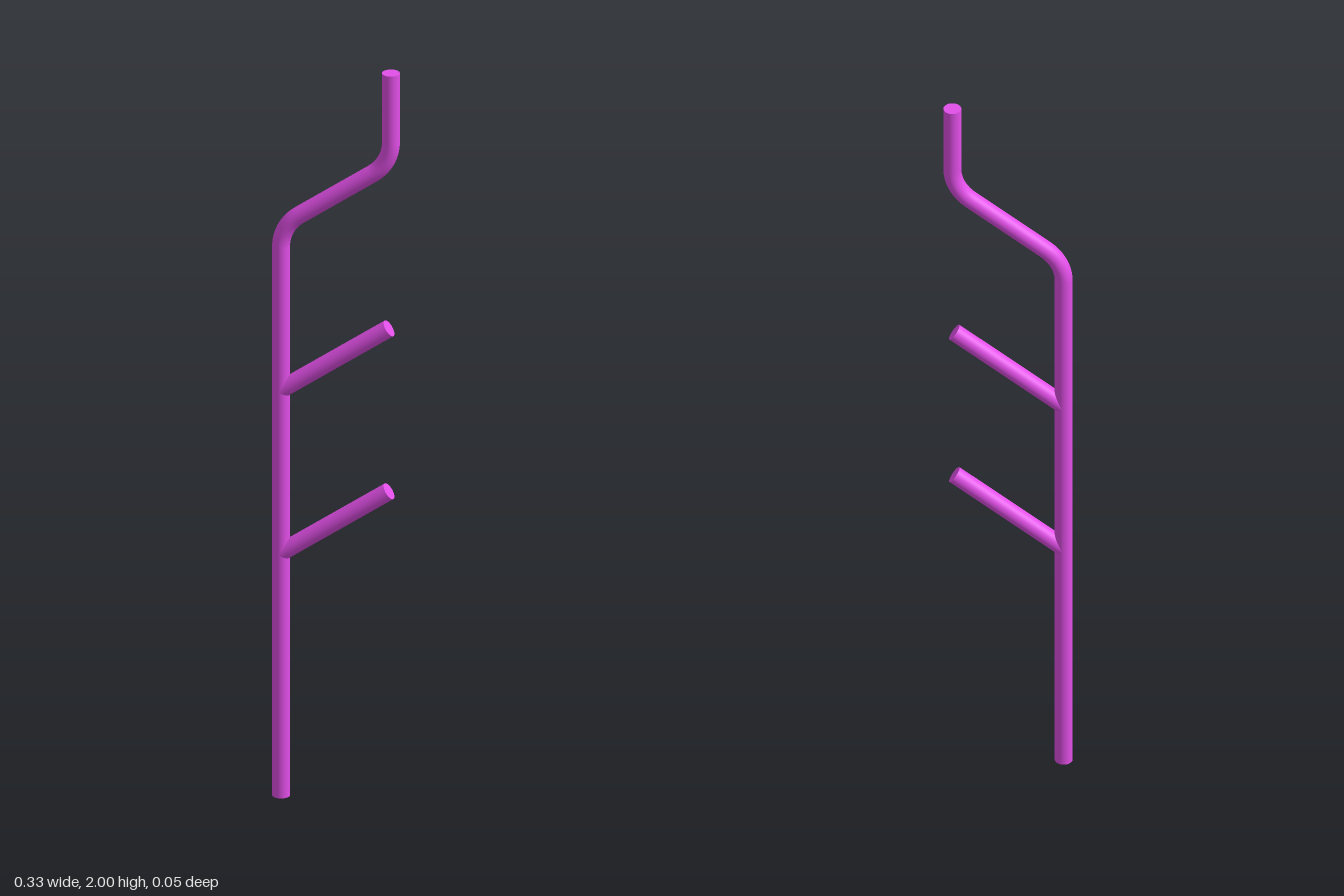
import * as THREE from 'three';

const RADIUS = 0.0225;
const SIDES = 32;
const SLOPE = THREE.MathUtils.degToRad(35);
const POLE_X = 0.141;

const material = new THREE.MeshStandardMaterial({ color: 0xe24fe8 });

// Centreline with each inner corner rounded by a circular bend
function roundedPath(points, bendRadius) {
  const path = new THREE.CurvePath();
  let from = points[0];
  for (let i = 1; i < points.length - 1; i++) {
    const corner = points[i];
    const into = corner.clone().sub(points[i - 1]).normalize();
    const out = points[i + 1].clone().sub(corner).normalize();
    const turn = into.angleTo(out);
    const setback = bendRadius * Math.tan(turn / 2);
    const handle = (4 / 3) * Math.tan(turn / 4) * bendRadius;
    const a = corner.clone().addScaledVector(into, -setback);
    const b = corner.clone().addScaledVector(out, setback);
    path.add(new THREE.LineCurve3(from, a));
    path.add(new THREE.CubicBezierCurve3(
      a, a.clone().addScaledVector(into, handle), b.clone().addScaledVector(out, -handle), b));
    from = b;
  }
  path.add(new THREE.LineCurve3(from, points[points.length - 1]));
  return path;
}

function flatCap(name, y, facing) {
  const cap = new THREE.Mesh(new THREE.CircleGeometry(RADIUS, SIDES), material);
  cap.name = name;
  cap.rotation.x = -facing * Math.PI / 2;
  return cap.translateZ(0), cap.position.setY(y), cap;
}

// Straight peg rising from the pole's axis
function makePeg(name, tipY) {
  const tip = new THREE.Vector3(0.136, tipY, 0);
  const length = (tip.x + POLE_X) / Math.cos(SLOPE);
  const geometry = new THREE.CylinderGeometry(RADIUS, RADIUS, length, SIDES);
  geometry.translate(0, -length / 2, 0);
  const peg = new THREE.Mesh(geometry, material);
  peg.name = name;
  peg.position.copy(tip);
  peg.rotation.z = SLOPE - Math.PI / 2;
  return peg;
}

export function createModel() {
  const model = new THREE.Group();
  model.name = 'peggedPole';

  // Bent pole: long shaft, sloping offset, short upright top
  const pole = new THREE.Group();
  pole.name = 'bentPole';
  const rise = POLE_X * Math.tan(SLOPE);
  const path = roundedPath([
    new THREE.Vector3(-POLE_X, 0, 0),
    new THREE.Vector3(-POLE_X, 1.655 - rise, 0),
    new THREE.Vector3(POLE_X, 1.655 + rise, 0),
    new THREE.Vector3(POLE_X, 2, 0),
  ], 0.11);
  const tube = new THREE.Mesh(new THREE.TubeGeometry(path, 180, RADIUS, SIDES), material);
  tube.name = 'poleTube';
  const bottom = flatCap('bottomCap', 0, -1);
  bottom.position.x = -POLE_X;
  const top = flatCap('topCap', 2, 1);
  top.position.x = POLE_X;
  pole.add(tube, bottom, top);

  // Two matching pegs parallel to the sloping offset
  model.add(pole, makePeg('lowerPeg', 0.857), makePeg('upperPeg', 1.302));
  return model;
}
